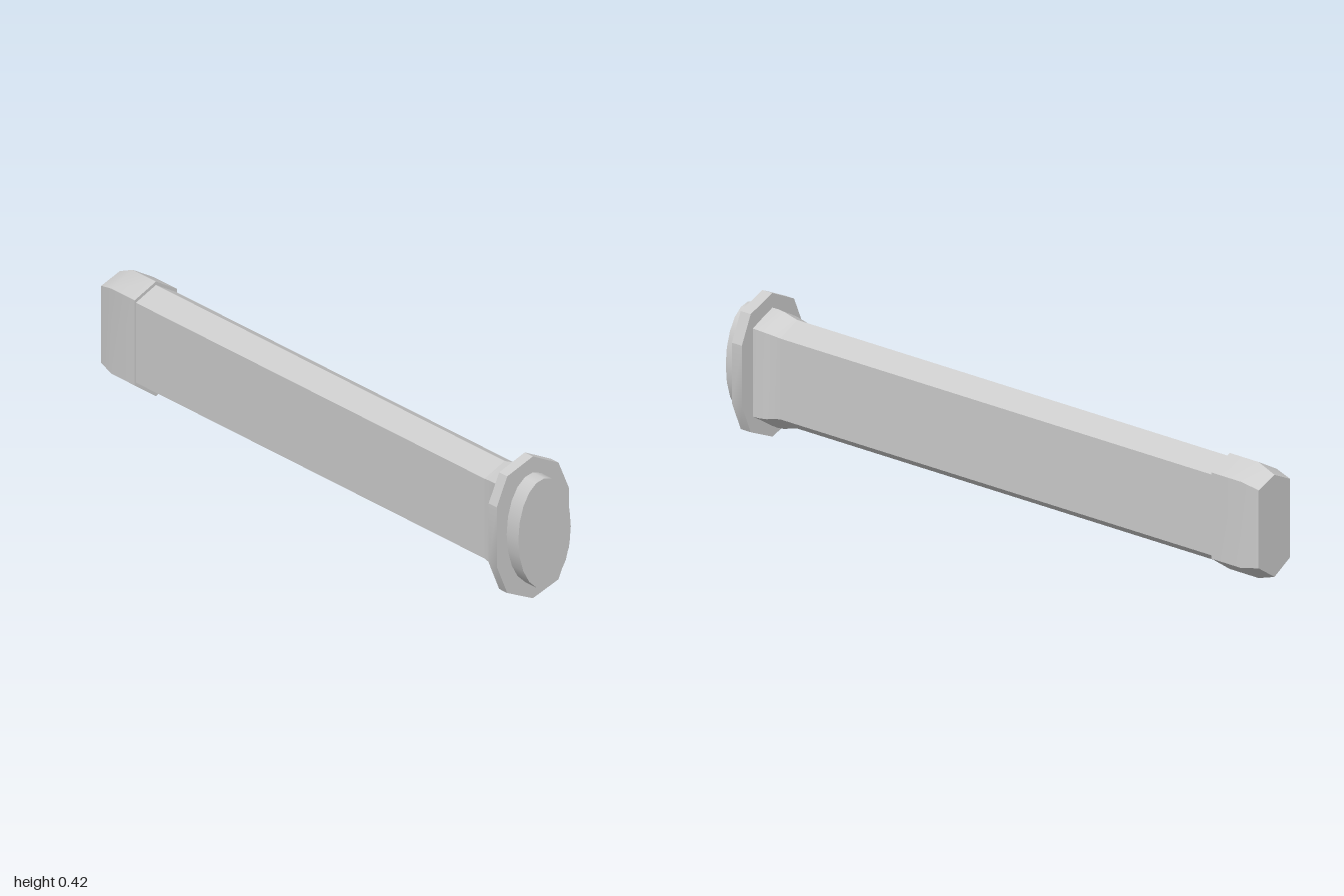
import * as THREE from 'three';
import { toCreasedNormals } from 'three/addons/utils/BufferGeometryUtils.js';

const material = new THREE.MeshStandardMaterial({ color: 0xcccccc });

// Closed solid through cross-sections along x; each section is [x, [[z, y], ...]],
// its points counter-clockwise as seen from +x.
function loft(name, sections) {
  const n = sections[0][1].length, pos = [], idx = [];
  for (const [x, pts] of sections) for (const [z, y] of pts) pos.push(x, y, z);
  for (let s = 0; s < sections.length - 1; s++) {
    for (let i = 0; i < n; i++) {
      const a = s * n + i, b = s * n + (i + 1) % n;
      idx.push(a, b, a + n, b, b + n, a + n);
    }
  }
  const last = (sections.length - 1) * n;
  for (let i = 1; i < n - 1; i++) {
    idx.push(0, i + 1, i);
    idx.push(last, last + i, last + i + 1);
  }
  const geo = new THREE.BufferGeometry();
  geo.setAttribute('position', new THREE.Float32BufferAttribute(pos, 3));
  geo.setIndex(idx);
  const mesh = new THREE.Mesh(toCreasedNormals(geo, 0.4), material);
  mesh.name = name;
  return mesh;
}

// Upright hexagon with a ridge at top and bottom
const hexagon = (top, shoulder, hip, bottom, w) =>
  [[0, top], [w, shoulder], [w, hip], [0, bottom], [-w, hip], [-w, shoulder]];

export function createModel() {
  const group = new THREE.Group();

  // Long six-sided grip
  const grip = hexagon(0.367, 0.33, 0.092, 0.047, 0.069);
  group.add(loft('grip', [[-0.9, grip], [0.87, grip]]));

  // End cap, chamfered at its tip
  const capFull = hexagon(0.377, 0.338, 0.084, 0.035, 0.073);
  const capTip = hexagon(0.354, 0.325, 0.095, 0.053, 0.064);
  group.add(loft('endCap', [[-1, capTip], [-0.94, capFull], [-0.83, capFull]]));

  // Collar flaring from the grip to the guard
  group.add(loft('collar', [
    [0.812, grip],
    [0.835, hexagon(0.372, 0.332, 0.088, 0.042, 0.07)],
    [0.86, hexagon(0.378, 0.335, 0.082, 0.034, 0.074)],
    [0.885, hexagon(0.381, 0.338, 0.08, 0.031, 0.078)],
    [0.92, hexagon(0.38, 0.34, 0.08, 0.032, 0.08)],
  ]));

  // Ten-sided guard plate
  const half = [[0, 0.423], [0.088, 0.384], [0.124, 0.3], [0.124, 0.123], [0.088, 0.036], [0, 0]];
  const plate = [...half, ...half.slice(1, -1).reverse().map(([z, y]) => [-z, y])];
  group.add(loft('guard', [[0.907, plate], [0.945, plate]]));

  // Oval end disc
  const disc = new THREE.Mesh(new THREE.CylinderGeometry(1, 1, 0.06, 20), material);
  disc.name = 'endDisc';
  disc.geometry.rotateZ(-Math.PI / 2);
  disc.scale.set(1, 0.164, 0.09);
  disc.position.set(0.97, 0.2115, 0);
  group.add(disc);

  return group;
}
